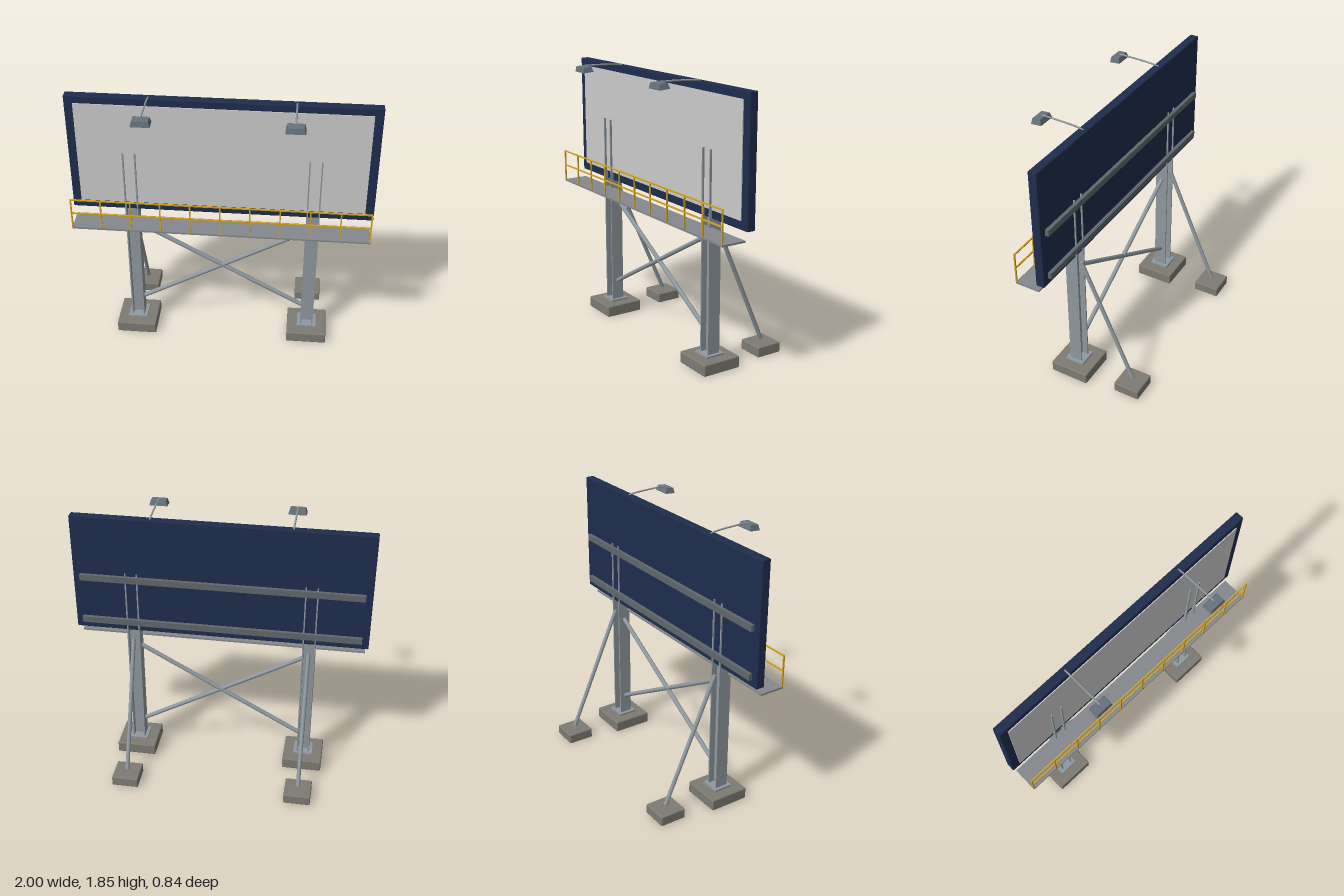
import * as THREE from 'three';
import { RoundedBoxGeometry } from 'three/addons/geometries/RoundedBoxGeometry.js';

const mat = (color) => new THREE.MeshStandardMaterial({ color });

export function createModel() {
  const root = new THREE.Group();
  const steel = mat(0x8f999f), darkSteel = mat(0x5f676c), concrete = mat(0x7d7b73);
  const navy = mat(0x1e2d4d), screenGrey = mat(0xcccccc), yellow = mat(0xd6a51e);
  const deck = mat(0x85888d), lampGrey = mat(0x66727c);

  const add = (parent, name, geometry, material, x = 0, y = 0, z = 0) => {
    const mesh = new THREE.Mesh(geometry, material);
    mesh.name = name;
    mesh.position.set(x, y, z);
    parent.add(mesh);
    return mesh;
  };
  const box = (parent, name, w, h, d, material, x, y, z) =>
    add(parent, name, new THREE.BoxGeometry(w, h, d), material, x, y, z);
  const rounded = (parent, name, w, h, d, r, material, x, y, z) =>
    add(parent, name, new RoundedBoxGeometry(w, h, d, 2, r), material, x, y, z);

  // Round bar between two points
  const bar = (parent, name, a, b, radius, material) => {
    const from = new THREE.Vector3(...a), to = new THREE.Vector3(...b);
    const dir = to.clone().sub(from);
    const mesh = add(parent, name, new THREE.CylinderGeometry(radius, radius, dir.length(), 12), material);
    mesh.position.copy(from).lerp(to, 0.5);
    mesh.quaternion.setFromUnitVectors(new THREE.Vector3(0, 1, 0), dir.normalize());
    return mesh;
  };

  // Posts with footings, base plates and rear braces
  const postZ = 0.089;
  for (const side of [-1, 1]) {
    const x = side * 0.604;
    const support = new THREE.Group();
    support.name = side > 0 ? 'leftSupport' : 'rightSupport';
    root.add(support);
    rounded(support, 'mainFooting', 0.276, 0.08, 0.276, 0.009, concrete, x, 0.04, postZ);
    box(support, 'basePlate', 0.134, 0.014, 0.134, steel, x, 0.087, postZ);
    box(support, 'postWeb', 0.08, 1.35, 0.008, steel, x, 0.765, postZ);
    for (const s of [-1, 1])
      box(support, 'postFlange', 0.009, 1.35, 0.089, steel, x + s * 0.0395, 0.765, postZ);
    rounded(support, 'rearFooting', 0.184, 0.07, 0.184, 0.008, concrete, x, 0.035, -0.333);
    bar(support, 'rearBrace', [x, 0.935, 0.042], [x, 0.085, -0.333], 0.014, steel);
  }

  // Cross braces between the posts
  for (const s of [-1, 1])
    bar(root, 'crossBrace', [s * -0.563, 0.868, postZ], [s * 0.563, 0.232, postZ], 0.015, steel);

  // Display board
  rounded(root, 'boardFrame', 2, 0.833, 0.06, 0.007, navy, 0, 1.418, 0.084);
  box(root, 'screen', 1.885, 0.725, 0.012, screenGrey, 0, 1.422, 0.114);
  for (const y of [1.072, 1.396])
    box(root, 'backRail', 1.906, 0.043, 0.026, darkSteel, 0, y, 0.043);

  // Walkway and its railing
  box(root, 'walkway', 1.96, 0.012, 0.172, deck, 0, 0.94, 0.197);
  const railing = new THREE.Group();
  railing.name = 'railing';
  root.add(railing);
  for (let i = 0; i <= 10; i++)
    box(railing, 'railPost', 0.009, 0.216, 0.009, yellow, -0.976 + i * 0.1952, 1.053, 0.279);
  for (const y of [1.056, 1.16])
    box(railing, 'handRail', 1.961, 0.009, 0.009, yellow, 0, y, 0.279);

  // Floodlights on arms: the head is a box narrowed at the top
  const head = new THREE.BoxGeometry(0.122, 0.036, 0.074);
  const p = head.attributes.position;
  for (let i = 0; i < p.count; i++)
    if (p.getY(i) > 0) p.setXYZ(i, p.getX(i) * 0.84, p.getY(i), p.getZ(i) * 0.78);
  head.computeVertexNormals();
  for (const side of [-1, 1]) {
    const light = new THREE.Group();
    light.name = 'floodlight';
    light.position.x = side * 0.465;
    root.add(light);
    const path = new THREE.CatmullRomCurve3([
      new THREE.Vector3(0, 1.828, 0.075), new THREE.Vector3(0, 1.838, 0.11),
      new THREE.Vector3(0, 1.847, 0.27), new THREE.Vector3(0, 1.848, 0.375)]);
    add(light, 'lampArm', new THREE.TubeGeometry(path, 16, 0.006, 8), steel);
    add(light, 'lampHead', head, lampGrey, 0, 1.826, 0.382).rotation.x = 0.08;
  }
  return root;
}
